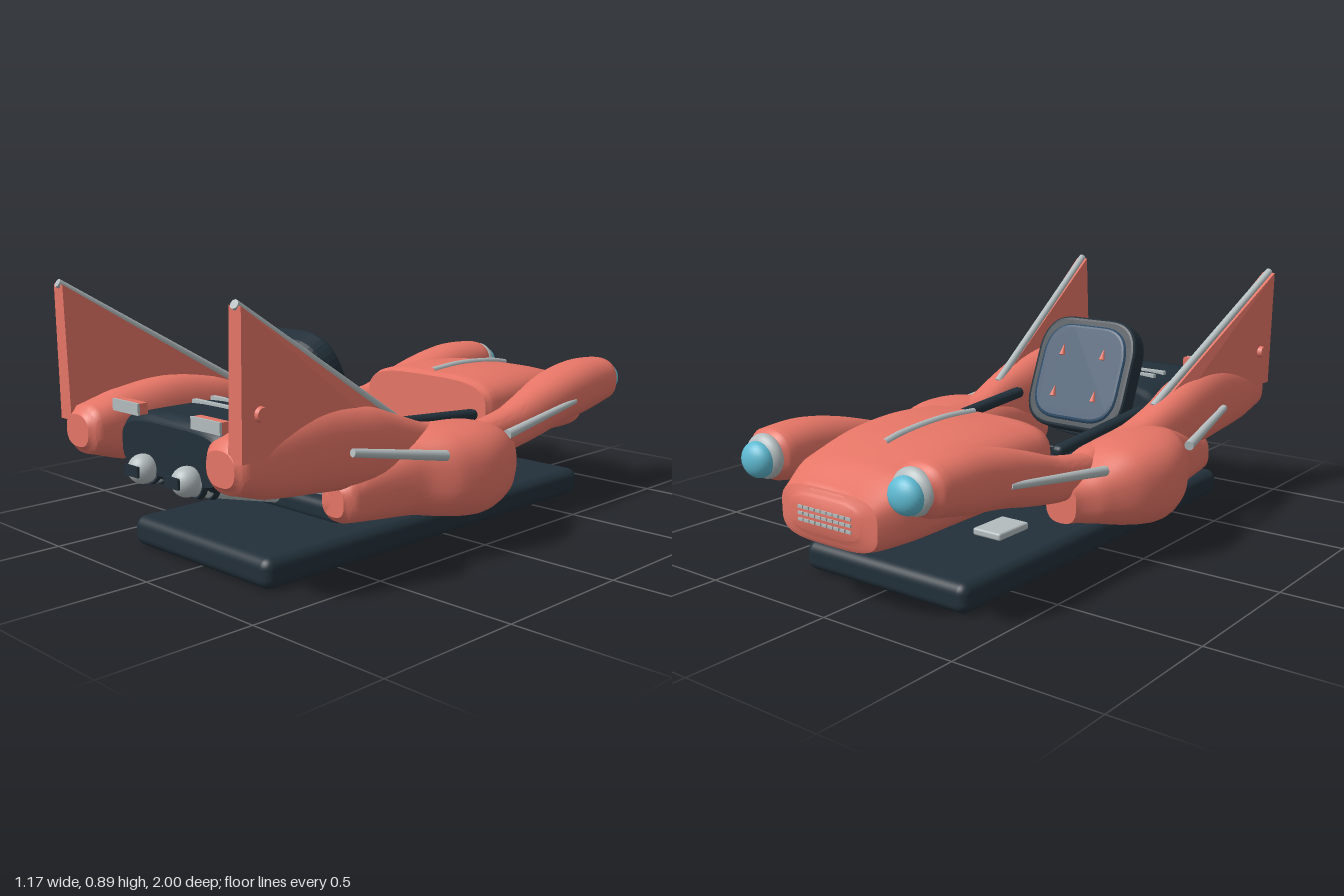
import * as THREE from 'three';
import { toCreasedNormals } from 'three/addons/utils/BufferGeometryUtils.js';
import { RoundedBoxGeometry } from 'three/addons/geometries/RoundedBoxGeometry.js';
import { ConvexGeometry } from 'three/addons/geometries/ConvexGeometry.js';

const paint = (name, color) => {
  const m = new THREE.MeshStandardMaterial({ color });
  m.name = name;
  return m;
};
const coral = paint('coral', 0xe57566);
const dark = paint('dark', 0x22303a);
const blue = paint('blue', 0x2c4a66);
const silver = paint('silver', 0xb3bcbe);
const cyan = paint('cyan', 0x5fbbd3);

// Smooth body along z; each section is [z, xMin, xMax, yMin, yMax], superellipse power p
function loft(sections, p = 2.6, side = 1, steps = 6, n = 36) {
  const rows = [];
  const at = (i) => sections[Math.min(Math.max(i, 0), sections.length - 1)];
  for (let i = 0; i < sections.length - 1; i++) {
    for (let s = 0; s < steps; s++) {
      const t = s / steps;
      rows.push(at(i).map((b, k) => {
        const a = at(i - 1)[k], c = at(i + 1)[k], d = at(i + 2)[k];
        if (k === 0) return b + (c - b) * t;
        return b + 0.5 * t * (c - a + t * (2 * a - 5 * b + 4 * c - d + t * (3 * (b - c) + d - a)));
      }));
    }
  }
  rows.push(at(sections.length - 1));
  const pos = [], idx = [];
  const pw = (v) => Math.sign(v) * Math.abs(v) ** (2 / p);
  rows.forEach(([z, x0, x1, y0, y1]) => {
    for (let j = 0; j < n; j++) {
      const a = (j / n) * Math.PI * 2;
      pos.push(side * (x0 + x1) / 2 + pw(Math.cos(a)) * (x1 - x0) / 2,
        (y0 + y1) / 2 + pw(Math.sin(a)) * (y1 - y0) / 2, z);
    }
  });
  const last = rows.length - 1;
  for (let i = 0; i < last; i++) {
    for (let j = 0; j < n; j++) {
      const a = i * n + j, b = i * n + (j + 1) % n;
      idx.push(a, b, a + n, b, b + n, a + n);
    }
  }
  // End caps
  [0, last].forEach((r) => {
    const [z, x0, x1, y0, y1] = rows[r];
    const c = pos.length / 3;
    pos.push(side * (x0 + x1) / 2, (y0 + y1) / 2, z);
    for (let j = 0; j < n; j++) {
      const a = r * n + j, b = r * n + (j + 1) % n;
      if (r) idx.push(c, a, b); else idx.push(c, b, a);
    }
  });
  const g = new THREE.BufferGeometry();
  g.setAttribute('position', new THREE.Float32BufferAttribute(pos, 3));
  g.setIndex(idx);
  return toCreasedNormals(g, 0.8);
}

export function createModel() {
  const model = new THREE.Group();
  const add = (name, geo, mat, x = 0, y = 0, z = 0, parent = model) => {
    const m = new THREE.Mesh(geo, mat);
    m.name = name;
    m.position.set(x, y, z);
    parent.add(m);
    return m;
  };
  const box = (w, h, d, r) => r ? new RoundedBoxGeometry(w, h, d, 4, r) : new THREE.BoxGeometry(w, h, d);
  // Cylinder from point a to point b
  const rod = (name, mat, a, b, ra, rb = ra, parent = model) => {
    const A = new THREE.Vector3(...a), B = new THREE.Vector3(...b), d = B.clone().sub(A);
    const m = add(name, new THREE.CylinderGeometry(rb, ra, d.length(), 20), mat, 0, 0, 0, parent);
    m.position.copy(A).add(B).multiplyScalar(0.5);
    m.quaternion.setFromUnitVectors(new THREE.Vector3(0, 1, 0), d.normalize());
    return m;
  };

  // Floor slab
  add('floor', box(0.685, 0.1, 1.57, 0.035), dark, 0, 0.05, 0.028);

  // Hood with trim strip and grille
  add('hood', loft([
    [-0.98, -0.14, 0.14, 0.25, 0.36], [-0.965, -0.2, 0.2, 0.215, 0.39],
    [-0.85, -0.25, 0.25, 0.215, 0.445], [-0.65, -0.28, 0.28, 0.225, 0.49],
    [-0.45, -0.3, 0.3, 0.235, 0.503], [-0.28, -0.3, 0.3, 0.25, 0.495],
    [-0.25, -0.29, 0.29, 0.255, 0.485]], 3.6), coral);
  const stripPath = new THREE.CatmullRomCurve3([[0.496, -0.29], [0.504, -0.45], [0.492, -0.65], [0.479, -0.72]]
    .map(([y, z]) => new THREE.Vector3(0, y, z)));
  add('hoodStrip', new THREE.TubeGeometry(stripPath, 20, 0.012, 10), silver);
  for (let r = 0; r < 3; r++) {
    for (let c = 0; c < 9; c++) {
      add('grilleSlot', box(0.02, 0.009, 0.008), silver, (c - 4) * 0.025, 0.283 + r * 0.02, -0.981);
    }
  }

  // Rear deck with two strips
  add('rearDeck', loft([
    [0.42, -0.25, 0.25, 0.26, 0.47], [0.46, -0.275, 0.275, 0.245, 0.487],
    [0.65, -0.28, 0.28, 0.255, 0.49], [0.87, -0.275, 0.275, 0.28, 0.487],
    [0.9, -0.25, 0.25, 0.3, 0.465]], 3.6), dark);
  [0.6, 0.675].forEach((z) => add('deckStrip', box(0.34, 0.014, 0.018), silver, 0, 0.491, z));

  // Seat: base, cushion and leaning back
  add('seatBase', box(0.435, 0.08, 0.4, 0.03), dark, 0, 0.125, 0.21);
  const cushion = add('seatCushion', new THREE.SphereGeometry(1, 32, 16), blue, 0, 0.16, 0.19);
  cushion.scale.set(0.212, 0.037, 0.19);
  const back = new THREE.Group();
  back.name = 'seatBack';
  back.position.set(0, 0.51, 0.375);
  back.rotation.x = 0.39;
  model.add(back);
  // Rounded panel centred on the origin, facing z
  const panel = (w, h, d, r) => {
    const s = new THREE.Shape();
    s.moveTo(-w + r, -h).lineTo(w - r, -h).quadraticCurveTo(w, -h, w, -h + r)
      .lineTo(w, h - r).quadraticCurveTo(w * 0.96, h, w - r, h).lineTo(r - w, h)
      .quadraticCurveTo(-w * 0.96, h, -w, h - r).lineTo(-w, r - h).quadraticCurveTo(-w, -h, r - w, -h);
    const b = 0.015;
    return new THREE.ExtrudeGeometry(s, { depth: d - 2 * b, bevelSize: b, bevelThickness: b,
      bevelOffset: -b, bevelSegments: 3, curveSegments: 10 }).translate(0, 0, b - d / 2);
  };
  add('backShell', panel(0.215, 0.215, 0.08, 0.13), dark, 0, 0, 0, back);
  add('backPad', panel(0.185, 0.185, 0.035, 0.12), blue, 0, 0, -0.032, back);
  for (const x of [-0.09, 0.09]) {
    for (const y of [-0.08, 0.08]) {
      add('backStud', new THREE.ConeGeometry(0.012, 0.045, 10), coral, x, y, -0.052, back);
    }
  }

  for (const s of [1, -1]) {
    // Headlight pod
    add('frontPod', loft([
      [-0.935, 0.25, 0.38, 0.37, 0.49], [-0.9, 0.222, 0.405, 0.348, 0.513],
      [-0.75, 0.218, 0.417, 0.32, 0.517], [-0.6, 0.223, 0.417, 0.3, 0.492],
      [-0.45, 0.25, 0.41, 0.27, 0.45], [-0.3, 0.28, 0.4, 0.247, 0.4],
      [-0.08, 0.29, 0.4, 0.24, 0.37]], 2.4, s), coral);
    const ring = add('headlightRing', new THREE.SphereGeometry(1, 28, 16), silver, s * 0.308, 0.432, -0.93);
    ring.scale.set(0.076, 0.072, 0.038);
    const lens = add('headlightLens', new THREE.SphereGeometry(1, 28, 16), cyan, s * 0.308, 0.427, -0.958);
    lens.scale.set(0.062, 0.058, 0.042);

    // Bulging side pod
    add('sidePod', loft([
      [-0.275, 0.29, 0.41, 0.17, 0.305], [-0.2, 0.27, 0.47, 0.158, 0.33],
      [-0.08, 0.25, 0.552, 0.13, 0.395], [0.05, 0.245, 0.587, 0.11, 0.415],
      [0.18, 0.25, 0.56, 0.125, 0.413], [0.28, 0.26, 0.495, 0.142, 0.39],
      [0.42, 0.28, 0.458, 0.153, 0.35], [0.55, 0.3, 0.44, 0.168, 0.31],
      [0.575, 0.325, 0.42, 0.19, 0.285]], 2.7, s), coral);

    // Rear pod running forward along the cockpit
    add('rearPod', loft([
      [-0.22, 0.29, 0.39, 0.26, 0.36], [-0.1, 0.275, 0.4, 0.25, 0.388],
      [0.15, 0.28, 0.42, 0.25, 0.418], [0.3, 0.29, 0.44, 0.255, 0.47],
      [0.45, 0.272, 0.457, 0.265, 0.522], [0.65, 0.265, 0.455, 0.28, 0.548],
      [0.85, 0.265, 0.45, 0.3, 0.525], [0.97, 0.275, 0.445, 0.335, 0.49],
      [0.992, 0.3, 0.425, 0.36, 0.465]], 2.5, s), coral);

    // Fin with edge rod and bolt
    const corners = [[0.465, 0.415, 0.872, 0.99], [0.457, 0.397, 0.44, 0.99],
      [0.37, 0.345, 0.45, 0.3], [0.39, 0.36, 0.41, 0.35]];
    add('fin', new ConvexGeometry(corners.flatMap(([o, i, y, z]) =>
      [new THREE.Vector3(s * o, y, z), new THREE.Vector3(s * i, y, z)])), coral);
    rod('finEdge', silver, [s * 0.44, 0.876, 0.992], [s * 0.352, 0.455, 0.285], 0.014);
    rod('finBolt', coral, [s * 0.44, 0.57, 0.92], [s * 0.467, 0.57, 0.92], 0.026, 0.02);

    // Side trim rods
    rod('rearTrim', silver, [s * 0.475, 0.41, 0.59], [s * 0.53, 0.35, 0.235], 0.013, 0.017);
    rod('frontTrim', silver, [s * 0.41, 0.39, -0.62], [s * 0.45, 0.34, -0.17], 0.011, 0.017);

    // Cockpit rail
    const rail = add('cockpitRail', box(0.045, 0.04, 0.54, 0.018), dark, s * 0.277, 0.4, 0.065);
    rail.rotation.x = -0.07;

    // Tail light
    add('tailLightHousing', box(0.135, 0.036, 0.03), coral, s * 0.202, 0.5, 0.895);
    add('tailLight', box(0.137, 0.038, 0.008), silver, s * 0.202, 0.5, 0.914);

    // Exhaust pipe: tapered tube, dark collars, round tip and slot
    const from = new THREE.Vector3(s * 0.175, 0.24, 0.63), to = new THREE.Vector3(s * 0.115, 0.315, 0.93);
    const along = (t) => from.clone().lerp(to, t).toArray();
    rod('exhaustPipe', silver, along(0), along(1), 0.03, 0.037);
    rod('exhaustCollar', dark, along(0.68), along(0.74), 0.04);
    rod('exhaustCollar', dark, along(0.82), along(0.88), 0.042);
    add('exhaustTip', new THREE.SphereGeometry(0.047, 24, 16), silver, s * 0.112, 0.319, 0.922);
    add('exhaustSlot', box(0.068, 0.034, 0.008), dark, s * 0.102, 0.322, 0.968);

    // Pedal
    add('pedal', box(0.115, 0.026, 0.16, 0.008), silver, s * 0.122, 0.112, -0.3);
  }
  return model;
}
